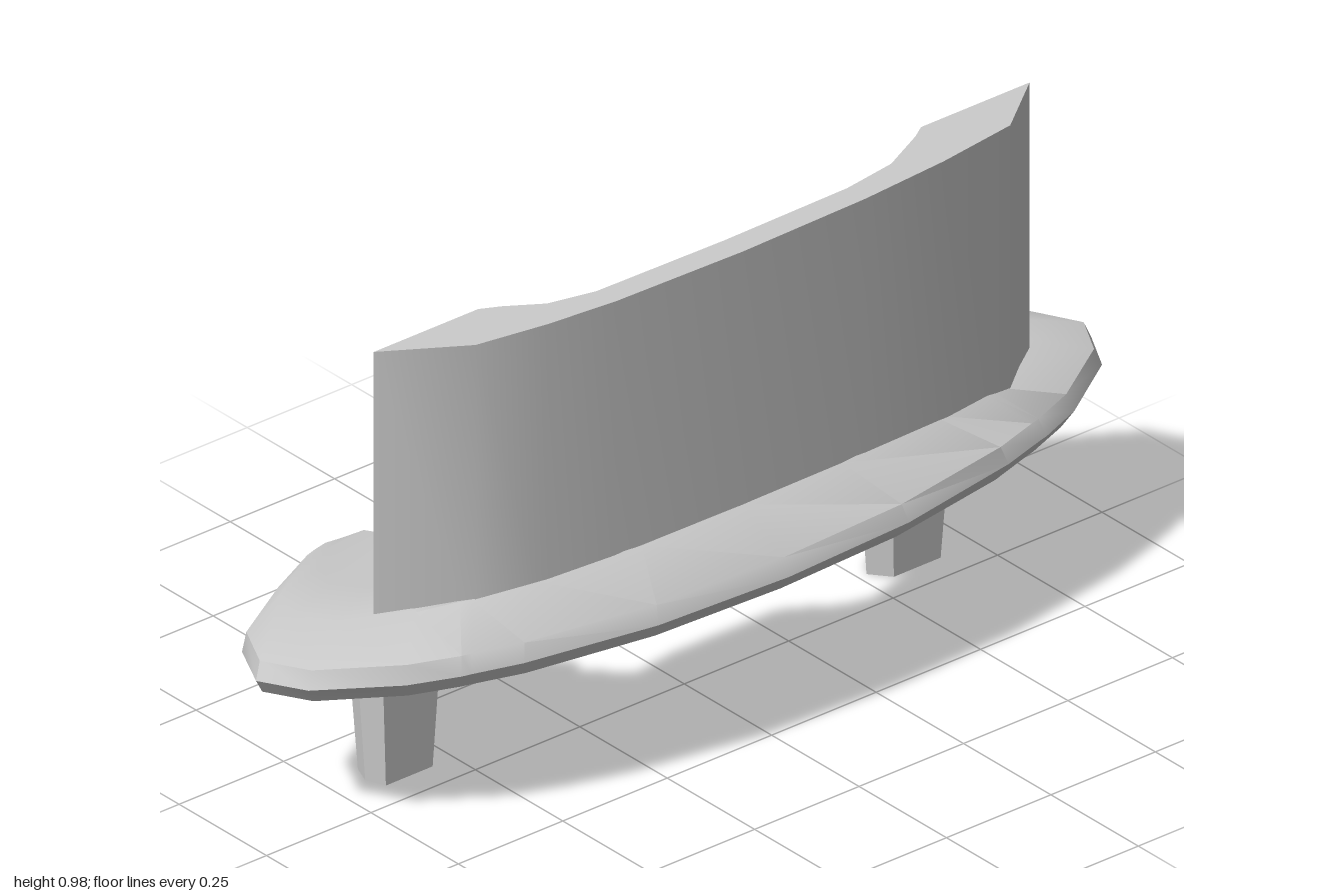
import * as THREE from 'three';
import { toCreasedNormals } from 'three/addons/utils/BufferGeometryUtils.js';

const material = new THREE.MeshStandardMaterial({ color: 0xcccccc });

// Closed skin through rings of [x, y, z] points, with both ends capped
function loft(rings, crease) {
  const n = rings[0].length, index = [], last = (rings.length - 1) * n;
  for (let i = 0; i < rings.length - 1; i++) {
    for (let j = 0; j < n; j++) {
      const a = i * n + j, b = i * n + (j + 1) % n;
      index.push(a, a + n, b, b, a + n, b + n);
    }
  }
  for (let j = 1; j < n - 1; j++) {
    index.push(0, j, j + 1, last, last + j + 1, last + j);
  }
  const g = new THREE.BufferGeometry();
  g.setAttribute('position', new THREE.Float32BufferAttribute(rings.flat(2), 3));
  g.setIndex(index);
  return toCreasedNormals(g, crease);
}

function part(name, geometry) {
  const mesh = new THREE.Mesh(geometry, material);
  mesh.name = name;
  return mesh;
}

// Crescent slab: one cross-section per station, from the outer rim over the ridge to the inner edge
function baseGeometry() {
  // outer x, z | inner x, z | ridge position, height | rear position, height | inner edge height
  const stations = [
    [0, 0.3, 0, 0.07, 0.58, 0.45, 0.83, 0.42, 0.38],
    [0.3, 0.285, 0.17, 0.025, 0.46, 0.45, 0.68, 0.42, 0.38],
    [0.58, 0.235, 0.33, -0.02, 0.4, 0.45, 0.54, 0.42, 0.37],
    [0.68, 0.205, 0.41, -0.12, 0.27, 0.448, 0.56, 0.415, 0.36],
    [0.7, 0.2, 0.43, -0.14, 0.27, 0.447, 0.56, 0.42, 0.4],
    [0.8, 0.16, 0.445, -0.16, 0.26, 0.44, 0.56, 0.42, 0.4],
    [0.95, 0.06, 0.47, -0.2, 0.26, 0.425, 0.56, 0.415, 0.395],
    [1, -0.03, 0.5, -0.24, 0.28, 0.42, 0.56, 0.412, 0.39],
    [0.95, -0.13, 0.505, -0.27, 0.28, 0.412, 0.56, 0.405, 0.385],
    [0.8, -0.22, 0.52, -0.295, 0.28, 0.402, 0.56, 0.4, 0.385],
    [0.68, -0.28, 0.56, -0.305, 0.3, 0.392, 0.56, 0.392, 0.38],
  ];
  const section = ([ox, oz, ix, iz, t1, y1, t2, y2, yi], side) => {
    const inset = 0.025 / Math.hypot(ox - ix, oz - iz);
    return [[0, 0.355], [inset * 0.6, 0.39], [t1, y1], [t2, y2], [1, yi], [1, 0.32], [inset, 0.32]]
      .map(([t, y]) => [side * (ox + (ix - ox) * t), y, oz + (iz - oz) * t]);
  };
  const rightHalf = stations.slice(1).reverse().map((s) => section(s, -1));
  const leftHalf = stations.map((s) => section(s, 1));
  return loft([...rightHalf, ...leftHalf], 0.7);
}

// Tall curved panel, thick in the middle and pointed at both ends
function panelGeometry() {
  const outline = [
    [-0.76, 0.02], [-0.6, 0.12], [-0.45, 0.145], [-0.3, 0.16], [0, 0.167], [0.3, 0.16], [0.5, 0.145],
    [0.68, 0.12], [0.81, 0.02], [0.55, 0.02], [0.52, 0.04], [0.42, 0.09], [0.3, 0.108], [0, 0.113],
    [-0.3, 0.108], [-0.4, 0.085], [-0.47, 0.04], [-0.51, 0.02],
  ];
  const shape = new THREE.Shape(outline.map(([x, z]) => new THREE.Vector2(x, -z)));
  const g = new THREE.ExtrudeGeometry(shape, { depth: 0.62, bevelEnabled: false });
  g.rotateX(-Math.PI / 2).translate(0, 0.363, 0);
  return toCreasedNormals(g, 0.5);
}

// Tapered six-sided peg and the flare that joins it to the slab
const pegOutline = [[0.7, -0.1], [0.68, -0.05], [0.54, -0.05], [0.5, -0.1], [0.54, -0.15], [0.68, -0.15]];
const flareOutline = [[0.87, -0.1], [0.76, 0.04], [0.44, 0.055], [0.41, -0.09], [0.52, -0.25], [0.76, -0.23]];

function ring(outline, y, side, scale = 1) {
  const points = outline.map(([x, z]) => [side * (0.6 + (x - 0.6) * scale), y, -0.1 + (z + 0.1) * scale]);
  return side < 0 ? points.reverse() : points;
}

export function createModel() {
  const group = new THREE.Group();
  group.name = 'stand';
  group.add(part('crescentBase', baseGeometry()), part('curvedPanel', panelGeometry()));
  for (const side of [1, -1]) {
    const name = side > 0 ? 'left' : 'right';
    group.add(
      part(name + 'Peg', loft([ring(pegOutline, 0, side, 0.8), ring(pegOutline, 0.262, side)], 0.3)),
      part(name + 'Flare', loft([ring(pegOutline, 0.26, side), ring(flareOutline, 0.322, side)], 0.6)),
    );
  }
  return group;
}
